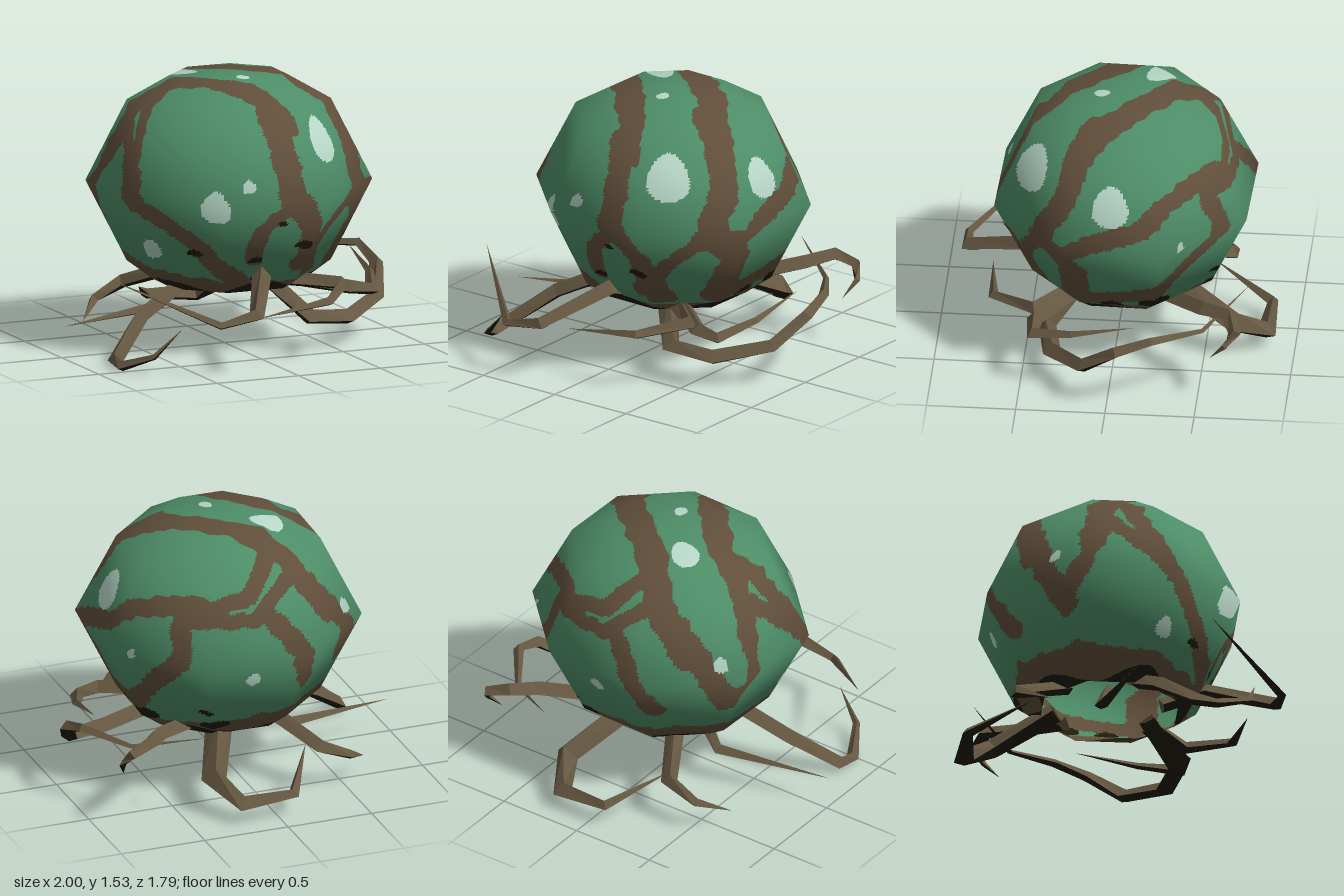
import * as THREE from 'three';

const mat = (name, color) => {
  const m = new THREE.MeshStandardMaterial({ color, side: THREE.DoubleSide });
  m.name = name;
  return m;
};
const V = (x, y, z) => new THREE.Vector3(x, y, z);
const CENTRE = V(0.045, 0.94, -0.04);
const R = 0.75; // mean radius of the faceted bulb

// Projection frames used to place the paint: right axis, up axis, axis toward the viewer, origin
const q = Math.SQRT1_2, s = Math.sin(0.35), c = Math.cos(0.35);
const FRAMES = {
  front: [V(1, 0, 0), V(0, 1, 0), V(0, 0, 1), 0.045, 0.94],
  side: [V(0, 0, 1), V(0, 1, 0), V(1, 0, 0), -0.04, 0.94],
  top: [V(1, 0, 0), V(0, 0, 1), V(0, 1, 0), 0.045, -0.04],
  back: [V(1, 0, 0), V(0, 1, 0), V(0, 0, -1), 0.045, 0.94],
  slant: [V(-q, 0, q), V(s * q, c, s * q), V(-c * q, s, -c * q), 0, 0],
};
const squash = (p) => V(p.x / 0.765, p.y / 0.615, p.z / 0.735);

// Unit direction on the bulb for a flat coordinate in one frame
function on(frame, a, b) {
  const [right, up, toward, a0, b0] = FRAMES[frame];
  const o = squash(right.clone().multiplyScalar(a - a0).addScaledVector(up, b - b0));
  const d = squash(toward);
  const A = d.dot(d), B = o.dot(d), C = o.dot(o) - 1;
  const t = (-B + Math.sqrt(Math.max(0, B * B - A * C))) / A;
  return o.addScaledVector(d, t).normalize();
}

// Brown bands: frame, half width, then a few bends joined by great arcs
const BANDS = [
  ['top', 0.08, [-0.66, -0.22], [-0.29, -0.05], [-0.12, 0.14], [0.06, 0.35], [0.14, 0.52]],
  ['top', 0.06, [-0.37, -0.04], [-0.6, 0.09], [-0.67, 0.24]],
  ['top', 0.085, [-0.45, -0.57], [-0.24, -0.53], [-0.02, -0.31], [0.43, 0.09], [0.57, 0.22]],
  ['top', 0.06, [-0.1, -0.42], [0.08, -0.64], [0.31, -0.63], [0.43, -0.54], [0.68, -0.32]],
  ['front', 0.085, [0.08, 1.4], [0.12, 1.15], [0.13, 0.92]],
  ['front', 0.055, [0.1, 0.88], [-0.06, 0.73], [-0.06, 0.58]],
  ['front', 0.075, [0.14, 0.95], [0.28, 0.75], [0.31, 0.5]],
  ['front', 0.065, [-0.67, 0.95], [-0.4, 0.67], [-0.1, 0.47]],
  ['side', 0.085, [0.1, 1.48], [0.265, 1.2], [0.4, 0.97], [0.43, 0.87]],
  ['side', 0.055, [0.45, 0.87], [0.53, 0.72], [0.5, 0.55]],
  ['side', 0.1, [0.35, 0.88], [0.23, 0.75], [0.2, 0.52]],
  ['side', 0.065, [0.3, 0.88], [0.05, 0.99], [-0.18, 1.07], [-0.31, 1.19], [-0.53, 1.24]],
  ['side', 0.065, [-0.53, 1.24], [-0.63, 0.95], [-0.45, 0.74], [-0.25, 0.58], [0.1, 0.52]],
  ['slant', 0.055, [-0.69, 0.2], [-0.5, 0.06], [-0.14, 0.22]],
  ['slant', 0.065, [-0.43, 0.08], [-0.36, -0.14], [-0.2, -0.45]],
  ['slant', 0.08, [-0.14, 0.2], [0.02, -0.06], [0.22, -0.42]],
  ['slant', 0.06, [0.38, 0.18], [0.7, -0.13]],
  ['slant', 0.05, [0.2, -0.45], [0.34, -0.26], [0.4, 0.06]],
].map(([f, w, ...pts]) => [w, pts.map(([a, b]) => on(f, a, b))]);

// Pale drops and flat dark scars: frame, position, half width
const blots = (tall, list) => list.map(([f, a, b, w]) => [on(f, a, b), w, w * tall]);
const PALE = blots(1.35, [
  ['front', 0.41, 1.25, 0.125], ['front', -0.33, 0.92, 0.085], ['front', -0.14, 1.04, 0.038],
  ['front', -0.56, 0.63, 0.055], ['side', 0, 1.19, 0.11], ['side', -0.4, 0.94, 0.025],
  ['top', -0.17, -0.21, 0.072], ['top', 0.07, 0.09, 0.034], ['slant', 0.18, -0.155, 0.04],
  ['back', 0.09, 0.79, 0.045],
]);
const SCARS = blots(0.6, [
  ['front', 0.09, 0.79, 0.035], ['front', 0.25, 0.65, 0.055], ['front', -0.39, 0.61, 0.05],
  ['front', -0.05, 0.57, 0.045], ['side', 0, 0.48, 0.07], ['side', -0.24, 0.51, 0.09],
  ['side', -0.57, 0.58, 0.04], ['back', 0.25, 0.5, 0.08],
]);

const seg = new THREE.Line3(), near = V(0, 0, 0);
function inBlot(p, [o, w, h]) {
  if (p.dot(o) < 0.7) return false;
  const east = V(o.z, 0, -o.x).normalize(), north = o.clone().cross(east);
  const d = p.clone().sub(o).multiplyScalar(R);
  const v = d.dot(north) / h, u = d.dot(east) / (w * (1 - 0.25 * v));
  return u * u + v * v < 1;
}
// Paint index: 0 green, 1 brown, 2 pale, 3 dark
function paint(pos) {
  const p = squash(pos).normalize();
  if (pos.y < -0.53 + 0.035 * Math.sin(5 * Math.atan2(p.z, p.x))) return 3;
  if (SCARS.some((b) => inBlot(p, b))) return 3;
  if (PALE.some((b) => inBlot(p, b))) return 2;
  const wobble = 0.007 * Math.sin(p.x * 31 + p.y * 23) + 0.005 * Math.sin(p.z * 47 - p.y * 37);
  if (pos.y < -0.46 - 0.06 * (p.x + p.z) + wobble) return 1;
  for (const [w, pts] of BANDS) {
    for (let i = 1; i < pts.length; i++) {
      seg.set(pts[i - 1], pts[i]).closestPointToPoint(p, true, near);
      if (near.normalize().distanceTo(p) * R < w + wobble) return 1;
    }
  }
  return 0;
}

// Eight-sided bulb, open underneath; each flat facet is diced so the paint follows it
function bulb(materials) {
  const RINGS = [[0.43, -0.565], [0.575, -0.46], [0.808, 0], [0.575, 0.46], [0.335, 0.595], [0, 0.612]];
  const N = 30, buckets = materials.map(() => ({ pos: [], nor: [] }));
  const corner = (i, k) => {
    const a = ((24 + 45 * k) * Math.PI) / 180, [r, y] = RINGS[i];
    return V(r * Math.cos(a), y, 0.95 * r * Math.sin(a));
  };
  const normal = (p) => V(p.x / 0.63, p.y / 0.42, p.z / 0.58).normalize();
  for (let i = 0; i < RINGS.length - 1; i++) for (let k = 0; k < 8; k++) {
    const P = [corner(i, k), corner(i, k + 1), corner(i + 1, k), corner(i + 1, k + 1)];
    const M = P.map(normal);
    const mix = (Q, u, v) => Q[0].clone().lerp(Q[1], u).lerp(Q[2].clone().lerp(Q[3], u), v);
    const add = (uv) => {
      const pts = uv.map(([u, v]) => mix(P, u / N, v / N));
      const mid = pts[0].clone().add(pts[1]).add(pts[2]).divideScalar(3);
      const b = buckets[paint(mid)];
      pts.forEach((p) => b.pos.push(p.x, p.y, p.z));
      uv.forEach(([u, v]) => b.nor.push(...mix(M, u / N, v / N).normalize().toArray()));
    };
    for (let u = 0; u < N; u++) for (let v = 0; v < N; v++) {
      add([[u, v], [u, v + 1], [u + 1, v]]);
      if (RINGS[i + 1][0] > 0 || v < N - 1) add([[u + 1, v], [u, v + 1], [u + 1, v + 1]]);
    }
  }
  const g = new THREE.BufferGeometry();
  const all = (key) => new THREE.Float32BufferAttribute(buckets.flatMap((b) => b[key]), 3);
  g.setAttribute('position', all('pos'));
  g.setAttribute('normal', all('nor'));
  let start = 0;
  buckets.forEach((b, m) => {
    g.addGroup(start, b.pos.length / 3, m);
    start += b.pos.length / 3;
  });
  return new THREE.Mesh(g, materials);
}

// Four-sided root: starts under the bulb, follows its bends and tapers to a point.
// The two upper faces take the first material, the two lower faces the second.
function root(width, bends) {
  const SECTION = [[0.95, -0.2], [0, 0.9], [-0.95, -0.2], [0, -0.6]];
  const [x, , z] = bends[0];
  const pts = [V(x / 2, 0.4, z / 2), ...bends.map((p) => V(...p))], n = pts.length - 1, pos = [];
  const rings = pts.map((p, i) => {
    const t = pts[Math.min(i + 1, n)].clone().sub(pts[Math.max(i - 1, 0)]).normalize();
    const side = t.clone().cross(V(0, 1, 0)).normalize(), up = side.clone().cross(t);
    const w = width * (1 - Math.pow(i / n, 2.2));
    return SECTION.map(([a, b]) => p.clone().addScaledVector(side, w * a).addScaledVector(up, w * b));
  });
  for (let k = 0; k < 4; k++) for (let i = 0; i < n; i++) {
    const a = rings[i][k], b = rings[i][(k + 1) % 4], d = rings[i + 1][k], e = rings[i + 1][(k + 1) % 4];
    [a, d, b].forEach((p) => pos.push(...p.toArray()));
    if (i < n - 1) [b, d, e].forEach((p) => pos.push(...p.toArray()));
  }
  const g = new THREE.BufferGeometry();
  g.setAttribute('position', new THREE.Float32BufferAttribute(pos, 3));
  g.computeVertexNormals();
  g.addGroup(0, pos.length / 6, 0);
  g.addGroup(pos.length / 6, pos.length / 6, 1);
  return g;
}

const ROOTS = {
  frontRoot: [0.06, [0, 0.5, 0.5], [-0.2, 0.35, 0.87], [-0.42, 0.31, 0.88], [-0.91, 0.54, 0.43]],
  frontCrossRoot: [0.055, [0.52, 0.39, 0.44], [0.33, 0.35, 0.68], [-0.12, 0.3, 0.72]],
  rightFrontRoot: [0.055, [-0.6, 0.25, 0.18], [-0.83, 0.06, 0.35], [-0.84, 0.04, 0.47], [-0.73, 0.12, 0.66], [-0.58, 0.28, 0.71]],
  rightRoot: [0.05, [-0.35, 0.23, -0.13], [-1, 0.2, 0.03]],
  rightBackRoot: [0.055, [-0.35, 0.28, -0.6], [-0.53, 0.2, -0.6], [-0.67, 0.11, -0.44]],
  backRoot: [0.08, [0.31, 0.23, -0.66], [0.21, 0.12, -0.84], [-0.09, 0.14, -0.85], [-0.3, 0.27, -0.5]],
  leftBackRoot: [0.055, [0.6, 0.48, -0.53], [0.7, 0.51, -0.67], [0.82, 0.47, -0.71], [0.86, 0.4, -0.66], [0.82, 0.3, -0.57]],
  leftLongRoot: [0.06, [0.35, 0.2, 0.38], [0.6, 0.17, 0.33], [0.87, 0.24, 0.13], [0.96, 0.39, -0.06], [0.94, 0.46, -0.25], [0.75, 0.43, -0.52], [0.38, 0.53, -0.77]],
  leftShortRoot: [0.055, [0.58, 0.36, 0.43], [0.71, 0.34, 0.43], [0.8, 0.4, 0.2], [0.83, 0.48, -0.15]],
};

export function createModel() {
  const model = new THREE.Group();
  const dark = mat('dark underside', 0x1e1b0c);
  const body = bulb([mat('green skin', 0x4d8c67), mat('brown bands', 0x604e3a), mat('pale spots', 0xb6d6c7), dark]);
  body.name = 'bulb';
  body.position.copy(CENTRE);
  model.add(body);

  const bark = mat('root bark', 0x655741);
  for (const [name, [width, ...bends]] of Object.entries(ROOTS)) {
    const mesh = new THREE.Mesh(root(width, bends), [bark, dark]);
    mesh.name = name;
    model.add(mesh);
  }
  return model;
}
